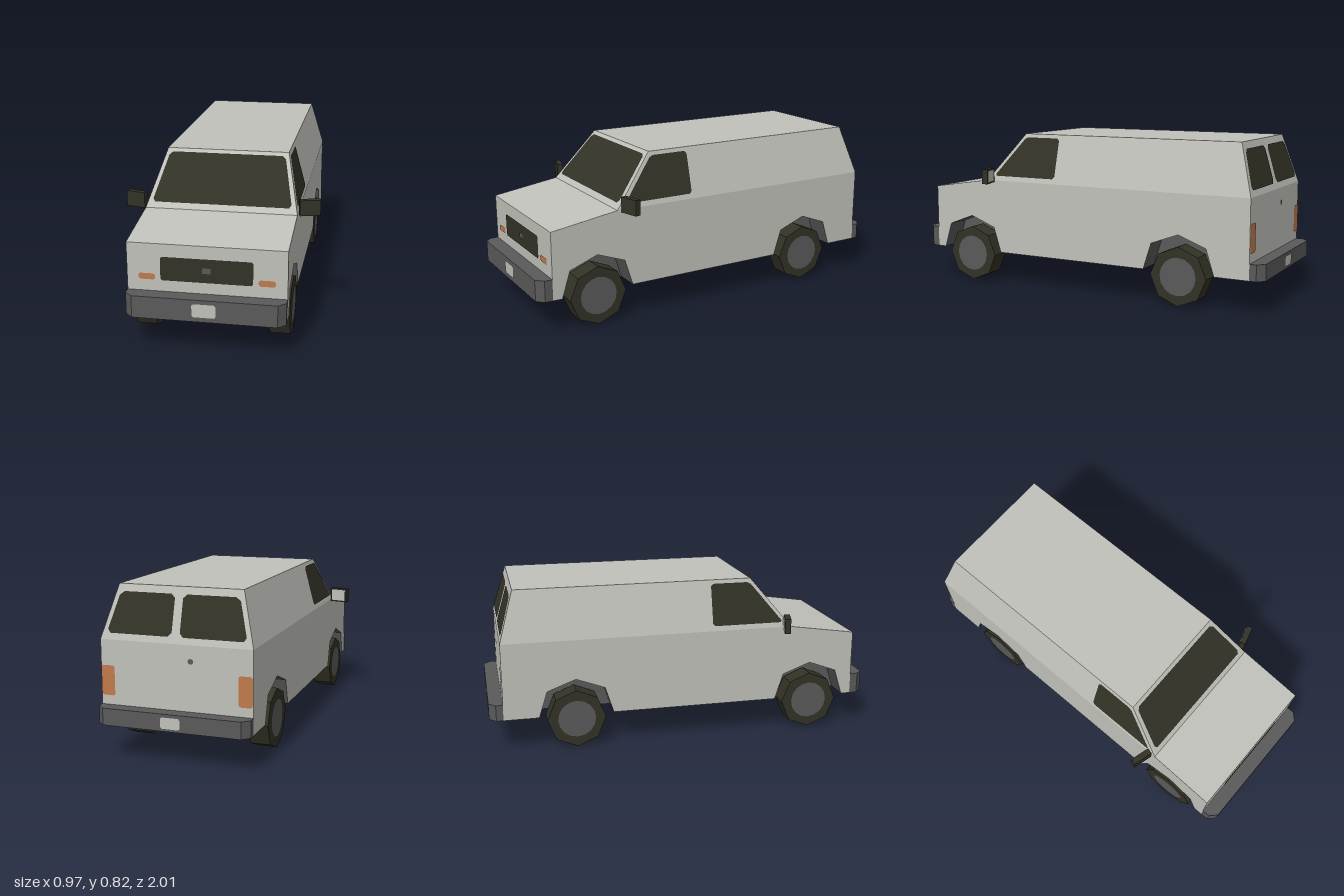
import * as THREE from 'three';

const mat = (name, color) => {
  const m = new THREE.MeshStandardMaterial({ color });
  m.name = name;
  return m;
};

export function createModel() {
  const paint = mat('pale grey paint', 0xc1c1bb);
  const trim = mat('dark grey trim', 0x5a5a5b);
  const dark = mat('black glass and rubber', 0x323226);
  const amber = mat('amber lamp', 0xc07a4c);

  const van = new THREE.Group();
  van.name = 'van';

  const add = (name, geometry, material, parent = van) => {
    const mesh = new THREE.Mesh(geometry, material);
    mesh.name = name;
    parent.add(mesh);
    return mesh;
  };

  // Flat polygon from 3D corners, facing the outward direction, lifted off its plane
  const face = (name, material, corners, out, lift = 0) => {
    const pts = corners.map((p) => new THREE.Vector3(...p));
    const o = new THREE.Vector3(...out);
    const drop = out.map(Math.abs).indexOf(Math.max(...out.map(Math.abs)));
    const flat = corners.map((p) => new THREE.Vector2(...p.filter((_, i) => i !== drop)));
    const tris = THREE.ShapeUtils.triangulateShape(flat, []);
    const [a, b, c] = tris[0].map((i) => pts[i]);
    const n = b.clone().sub(a).cross(c.clone().sub(a)).normalize();
    const flip = n.dot(o) < 0;
    if (flip) n.negate();
    pts.forEach((p) => p.addScaledVector(n, lift));
    const g = new THREE.BufferGeometry().setFromPoints(pts);
    g.setIndex(tris.flatMap(([i, j, k]) => (flip ? [i, k, j] : [i, j, k])));
    g.computeVertexNormals();
    return add(name, g, material);
  };

  // Cut the corners of a 2D outline
  const clip = (pts, r) => pts.flatMap((p, i) => {
    const v = new THREE.Vector2(...p);
    return [pts.at(i - 1), pts[(i + 1) % pts.length]].map((q) => {
      const d = new THREE.Vector2(...q).sub(v).setLength(r);
      return [v.x + d.x, v.y + d.y];
    });
  });
  const rect = (x0, x1, y0, y1) => [[x0, y0], [x1, y0], [x1, y1], [x0, y1]];

  // Main dimensions
  const W = 0.376, T = 0.307, FLOOR = 0.17, BELT = 0.565, ROOF = 0.82;
  const FRONT = 0.925, COWL = 0.575, BACK = -0.93, WELL = 0.25;
  const ROOF_FRONT = 0.365, ROOF_BACK = -0.855;
  const AXLES = [0.687, -0.562];
  const rise = (y) => (y - BELT) / (ROOF - BELT);
  const screenZ = (y) => COWL + (ROOF_FRONT - COWL) * rise(y);
  const rearZ = (y) => BACK + (ROOF_BACK - BACK) * rise(y);
  const sideX = (y) => W + (T - W) * rise(y);
  const arch = (z) => [[z + 0.19, FLOOR], [z + 0.147, 0.305], [z, 0.36], [z - 0.147, 0.305], [z - 0.19, FLOOR]];
  const across = (y0, z0, x0, y1, z1, x1) => [[-x0, y0, z0], [x0, y0, z0], [x1, y1, z1], [-x1, y1, z1]];

  // Body panels spanning the width
  face('nosePanel', paint, across(FLOOR, FRONT, W, 0.512, FRONT, W), [0, 0, 1]);
  face('bonnet', paint, across(0.512, FRONT, W, BELT, COWL, W), [0, 1, 0]);
  face('windscreenFrame', paint, across(BELT, COWL, W, ROOF, ROOF_FRONT, T), [0, 0.5, 1]);
  face('roof', paint, across(ROOF, ROOF_FRONT, T, ROOF, ROOF_BACK, T), [0, 1, 0]);
  face('rearUpperPanel', paint, across(BELT, BACK, W, ROOF, ROOF_BACK, T), [0, 0, -1]);
  face('rearDoors', paint, across(FLOOR, BACK, W, BELT, BACK, W), [0, 0, -1]);

  // Floor with notches for the wheel wells
  const floorEdge = [[W, FRONT]];
  for (const z of AXLES) floorEdge.push([W, z + 0.19], [WELL, z + 0.19], [WELL, z - 0.19], [W, z - 0.19]);
  floorEdge.push([W, BACK]);
  const floorOutline = [...floorEdge, ...floorEdge.map(([x, z]) => [-x, z]).reverse()];
  face('floor', trim, floorOutline.map(([x, z]) => [x, FLOOR, z]), [0, -1, 0]);

  for (const s of [1, -1]) {
    const side = s > 0 ? 'left' : 'right';

    // Side panels
    const outline = [[FRONT, FLOOR], ...AXLES.flatMap(arch), [BACK, FLOOR], [BACK, BELT], [COWL, BELT], [FRONT, 0.512]];
    face(side + 'LowerSide', paint, outline.map(([z, y]) => [s * W, y, z]), [s, 0, 0]);
    face(side + 'UpperSide', paint,
      [[s * W, BELT, COWL], [s * W, BELT, BACK], [s * T, ROOF, ROOF_BACK], [s * T, ROOF, ROOF_FRONT]], [s, 0, 0]);

    // Cab window
    const cab = clip([[0.53, 0.59], [0.152, 0.59], [0.152, 0.8], [0.358, 0.8]], 0.012);
    face(side + 'CabWindow', dark, cab.map(([z, y]) => [s * sideX(y), y, z]), [s, 0, 0], 0.003);

    for (const z of AXLES) {
      const end = side + (z > 0 ? 'Front' : 'Rear');

      // Wheel well lining
      const a = arch(z);
      face(end + 'WellWall', trim, a.map(([pz, y]) => [s * WELL, y, pz]), [s, 0, 0]);
      for (let i = 0; i < 4; i++) {
        const [[z0, y0], [z1, y1]] = [a[i], a[i + 1]];
        face(end + 'WellLining', trim,
          [[s * WELL, y0, z0], [s * W, y0, z0], [s * W, y1, z1], [s * WELL, y1, z1]],
          [0, z - 0 === z ? -(z0 - z1) : 0, z - (z0 + z1) / 2]);
      }

      // Tyre and hub
      const wheel = new THREE.Group();
      wheel.name = end + 'Wheel';
      wheel.position.set(s * 0.326, 0.15, z);
      van.add(wheel);
      const tyre = new THREE.CylinderGeometry(0.15, 0.15, 0.1, 8).toNonIndexed();
      tyre.rotateZ(Math.PI / 2);
      tyre.computeVertexNormals();
      add('tyre', tyre, dark, wheel);
      const hub = add('hub', new THREE.CircleGeometry(0.097, 16), trim, wheel);
      hub.rotation.y = s * Math.PI / 2;
      hub.position.x = s * 0.053;
    }

    // Door mirror, swept back, with pale glass behind
    const mirror = new THREE.Group();
    mirror.name = side + 'Mirror';
    mirror.position.set(s * 0.431, 0.595, 0.531);
    mirror.rotation.y = s * 0.27;
    van.add(mirror);
    add('mirrorShell', new THREE.BoxGeometry(0.102, 0.078, 0.03), dark, mirror);
    add('mirrorGlass', new THREE.BoxGeometry(0.084, 0.062, 0.004), paint, mirror).position.z = -0.016;

    // Lamps and rear window
    const onX = (x0, x1, y0, y1, r) => clip(rect(x0, x1, y0, y1), r).map(([x, y]) => [s * x, y]);
    face(side + 'Indicator', amber, onX(0.242, 0.322, 0.335, 0.365, 0.008).map(([x, y]) => [x, y, FRONT]), [0, 0, 1], 0.003);
    face(side + 'TailLamp', amber, onX(0.306, 0.374, 0.298, 0.442, 0.008).map(([x, y]) => [x, y, BACK]), [0, 0, -1], 0.003);
    const pane = clip([[0.02, 0.595], [0.345, 0.595], [0.293, 0.785], [0.02, 0.785]], 0.018);
    face(side + 'RearWindow', dark, pane.map(([x, y]) => [s * x, y, rearZ(y)]), [0, 0, -1], 0.003);
  }

  // Windscreen, grille and door latch
  const screen = clip([[-0.347, 0.59], [0.347, 0.59], [0.292, 0.803], [-0.292, 0.803]], 0.014);
  face('windscreen', dark, screen.map(([x, y]) => [x, y, screenZ(y)]), [0, 0.5, 1], 0.003);
  const plate = (name, m, outline, z, dir, lift = 0.003) =>
    face(name, m, outline.map(([x, y]) => [x, y, z]), [0, 0, dir], lift);
  plate('grille', dark, clip(rect(-0.217, 0.217, 0.334, 0.45), 0.008), FRONT, 1);
  plate('grilleCatch', trim, rect(-0.02, 0.02, 0.38, 0.407), FRONT, 1, 0.006);
  plate('rearDoorHandle', trim, clip(rect(-0.09, -0.062, 0.478, 0.502), 0.008), BACK, -1);

  // Bumpers with chamfered ends and blank number plates
  const bumper = (name, dir, inner, height) => {
    const half = [[W, inner], [W, 0.965], [0.34, 1]];
    const pts = [...half, ...half.map(([x, z]) => [-x, z]).reverse()];
    const shape = new THREE.Shape(pts.map(([x, z]) => new THREE.Vector2(x, -dir * z)));
    const g = new THREE.ExtrudeGeometry(shape, { depth: height, bevelEnabled: false });
    g.rotateX(-Math.PI / 2);
    g.translate(0, FLOOR, 0);
    add(name, g, trim);
  };
  bumper('frontBumper', 1, FRONT, 0.108);
  bumper('rearBumper', -1, -BACK, 0.082);
  plate('frontNumberPlate', paint, clip(rect(-0.056, 0.056, 0.194, 0.259), 0.008), 1, 1);
  plate('rearNumberPlate', paint, clip(rect(-0.048, 0.048, 0.183, 0.237), 0.008), -1, -1);

  return van;
}
